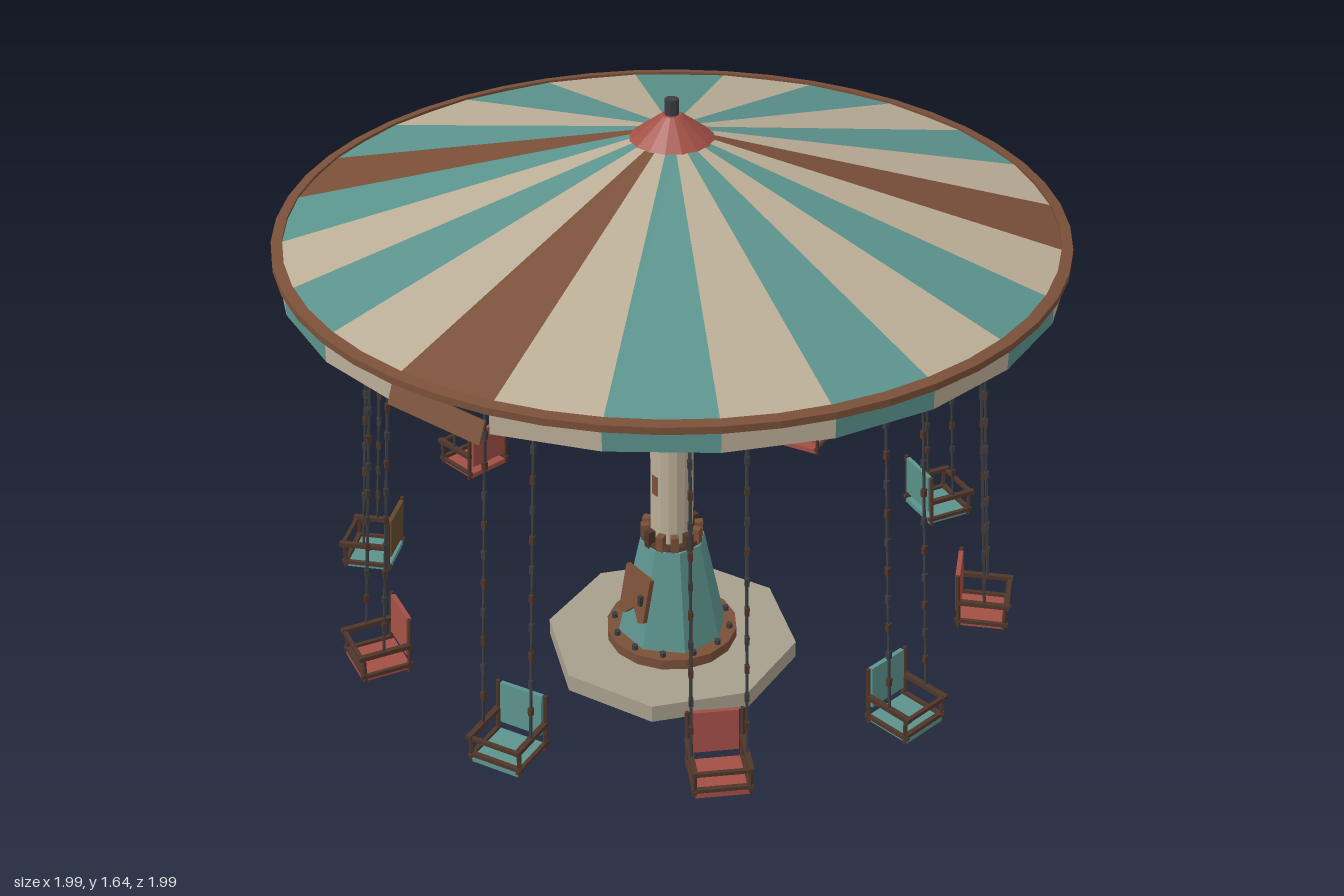
import * as THREE from 'three';

const D = Math.PI / 180;
const V = (x, y, z) => new THREE.Vector3(x, y, z);

export function createModel() {
  const root = new THREE.Group();
  root.name = 'swingCarousel';

  const mat = (name, color, double = false) => {
    const m = new THREE.MeshStandardMaterial({ color });
    m.name = name;
    m.flatShading = true;
    if (double) m.side = THREE.DoubleSide;
    return m;
  };
  const teal = mat('fadedTeal', 0x5c938d, true);
  const cream = mat('agedCream', 0xbbae97, true);
  const rust = mat('rust', 0x7a5039, true);
  const red = mat('fadedRed', 0xa24f45);
  const dark = mat('darkIron', 0x3b3d40);
  const brown = mat('darkRust', 0x50362a);
  const stone = mat('concrete', 0xa89f8d);
  const wood = mat('oldWood', 0x644a2e);

  const add = (parent, name, geo, material, x = 0, y = 0, z = 0) => {
    const m = new THREE.Mesh(geo, material);
    m.name = name;
    m.position.set(x, y, z);
    parent.add(m);
    return m;
  };
  const box = (parent, name, w, h, d, material, x, y, z) =>
    add(parent, name, new THREE.BoxGeometry(w, h, d), material, x, y, z);
  // cylinder given by its bottom and top heights
  const drum = (parent, name, rTop, rBot, y0, y1, sides, material) =>
    add(parent, name, new THREE.CylinderGeometry(rTop, rBot, y1 - y0, sides), material, 0, (y0 + y1) / 2, 0);
  // straight rod between two points
  const rod = (parent, name, a, b, r, material, sides = 5) => {
    const dir = b.clone().sub(a);
    const m = add(parent, name, new THREE.CylinderGeometry(r, r, dir.length(), sides), material);
    m.position.copy(a).addScaledVector(dir, 0.5);
    m.quaternion.setFromUnitVectors(V(0, 1, 0), dir.normalize());
    return m;
  };
  const polar = (a, r, y) => V(Math.sin(a) * r, y, Math.cos(a) * r);

  // Plinth and base
  drum(root, 'plinth', 0.345, 0.345, 0, 0.05, 8, stone);
  drum(root, 'baseFlange', 0.18, 0.18, 0.05, 0.08, 16, rust);
  drum(root, 'basePedestal', 0.09, 0.15, 0.08, 0.365, 8, teal).rotation.y = 22.5 * D;
  for (let i = 0; i < 12; i++) {
    const p = polar((i + 0.5) * 30 * D, 0.16, 0.086);
    add(root, 'flangeBolt', new THREE.CylinderGeometry(0.009, 0.009, 0.014, 6), dark, p.x, p.y, p.z);
  }
  // Tabs around the top of the pedestal
  drum(root, 'pedestalCollar', 0.078, 0.084, 0.355, 0.375, 16, brown);
  for (let i = 0; i < 12; i++) {
    const a = i * 30 * D, p = polar(a, 0.073, 0.375);
    box(root, 'collarTab', 0.02, 0.07, 0.022, i % 3 ? rust : brown, p.x, p.y, p.z).rotation.y = a;
  }
  // Service hatch with a broken lower edge
  const hatch = new THREE.Shape([[-0.055, 0.07], [0.055, 0.07], [0.055, -0.06], [0.035, -0.07],
    [0.005, -0.035], [-0.03, -0.07], [-0.055, -0.07]].map(p => new THREE.Vector2(...p)));
  add(root, 'hatch', new THREE.ExtrudeGeometry(hatch, { depth: 0.014, bevelEnabled: false }), rust, 0, 0.22, 0.112)
    .rotation.x = -11 * D;
  box(root, 'hatchHandle', 0.012, 0.03, 0.012, dark, 0.035, 0.225, 0.13);

  // Column
  drum(root, 'lowerColumn', 0.058, 0.058, 0.35, 0.95, 16, cream);
  drum(root, 'columnRing', 0.082, 0.082, 0.943, 0.97, 16, dark);
  drum(root, 'upperColumn', 0.06, 0.06, 0.97, 1.24, 16, rust);
  drum(root, 'columnHead', 0.075, 0.075, 1.21, 1.235, 16, dark);
  drum(root, 'innerMast', 0.035, 0.035, 1.235, 1.55, 10, brown);
  for (const [a, y, h] of [[-8, 0.55, 0.06], [40, 0.76, 0.07], [-95, 0.69, 0.05], [170, 0.62, 0.07], [-130, 0.82, 0.05]]) {
    add(root, 'rustPatch', new THREE.CylinderGeometry(0.0595, 0.0595, h, 2, 1, true, a * D, 24 * D), rust, 0, y, 0);
  }

  // Striped canopy and valance, with a few weathered panels
  const R = 0.98, step = 15 * D;
  for (let i = 0; i < 24; i++) {
    const start = Math.PI - step * (i + 1);
    const m = [2, 10, 15].includes(i) ? rust : i % 2 ? cream : teal;
    add(root, 'canopyPanel', new THREE.CylinderGeometry(0.1, R, 0.24, 1, 1, true, start, step), m, 0, 1.42, 0);
    if (i !== 10) {
      add(root, 'valancePanel', new THREE.CylinderGeometry(R + 0.005, R + 0.005, 0.06, 1, 1, true, start, step),
        m, 0, 1.265, 0);
    }
  }
  // Loose valance panel hanging from one corner
  const loose = new THREE.Group();
  loose.name = 'looseValance';
  loose.position.copy(polar(15 * D, R + 0.005, 1.295));
  loose.rotation.set(-0.3, 22.5 * D, -0.1, 'YXZ');
  box(loose, 'loosePanel', 0.255, 0.058, 0.006, rust, 0.127, -0.029, 0);
  root.add(loose);
  // Rim moulding
  const rim = new THREE.LatheGeometry([[0.965, 1.288], [0.993, 1.288], [0.993, 1.306], [0.965, 1.31], [0.965, 1.288]]
    .map(p => new THREE.Vector2(...p)), 48);
  add(root, 'canopyRim', rim, rust);

  // Cap and finial
  drum(root, 'canopyCap', 0.025, 0.117, 1.53, 1.6, 16, red);
  drum(root, 'finial', 0.018, 0.018, 1.59, 1.64, 8, dark);

  // Underside frame: rafters, hanging ring and spokes
  for (let i = 0; i < 12; i++) {
    const a = i * 30 * D;
    rod(root, 'rafter', polar(a, 0.04, 1.515), polar(a, 0.965, 1.275), 0.012, brown, 4);
    rod(root, 'rafterBrace', polar(a, 0.06, 1.235), polar(a, 0.78, 1.315), 0.008, rust, 4);
  }
  add(root, 'hangingRing', new THREE.TorusGeometry(0.775, 0.013, 6, 48), dark, 0, 1.25, 0).rotation.x = Math.PI / 2;
  add(root, 'hubRing', new THREE.TorusGeometry(0.09, 0.012, 6, 20), dark, 0, 1.235, 0).rotation.x = Math.PI / 2;

  // Ten chairs facing outwards, each on two chains
  for (let i = 0; i < 10; i++) {
    const broken = i === 9;
    const chair = new THREE.Group();
    chair.name = 'swingChair';
    chair.rotation.y = (-10.5 + 36 * (i + 1)) * D;
    if (i === 8) chair.position.y = 0;
    const paint = i % 2 ? red : teal;
    const old = i === 8;
    const y = old ? -0.018 : 0;
    box(chair, 'seat', 0.13, 0.014, 0.13, paint, 0, 0.225 + y, 0.845);
    box(chair, 'seatFrame', 0.15, 0.01, 0.012, brown, 0, 0.238 + y, 0.905);
    const back = box(chair, 'backrest', 0.118, 0.115, 0.012, old ? wood : paint, 0, 0.315 + y, 0.778);
    back.rotation.x = -0.06;
    if (old) back.rotation.z = 0.05;
    for (const s of [-1, 1]) {
      const x = s * 0.068;
      rod(chair, 'backPost', V(x, 0.215 + y, 0.786), V(x, 0.375 + y, 0.775), 0.006, brown);
      rod(chair, 'frontPost', V(x, 0.22 + y, 0.905), V(x, 0.295 + y, 0.905), 0.006, brown);
      box(chair, 'armrest', 0.014, 0.012, 0.14, brown, x, 0.293 + y, 0.848);
      box(chair, 'sideRail', 0.01, 0.01, 0.14, brown, x, 0.235 + y, 0.845);
      // chain with rusty links
      const top = V(x * 0.95, 1.245, 0.775), low = V(x, 0.295 + y, 0.85);
      rod(chair, 'chain', top, low, 0.0042, dark);
      for (let k = 1; k < 12; k++) {
        const p = top.clone().lerp(low, k / 12);
        box(chair, 'chainLink', 0.011, 0.022, 0.011, k % 2 ? brown : dark, p.x, p.y, p.z);
      }
      rod(chair, 'spoke', V(s * 0.03, 1.235, 0.06), V(x * 0.95, 1.245, 0.775), 0.006, dark, 4);
    }
    box(chair, 'safetyBar', 0.15, 0.01, 0.01, brown, 0, 0.29 + y, 0.91);
    root.add(chair);
  }
  return root;
}
